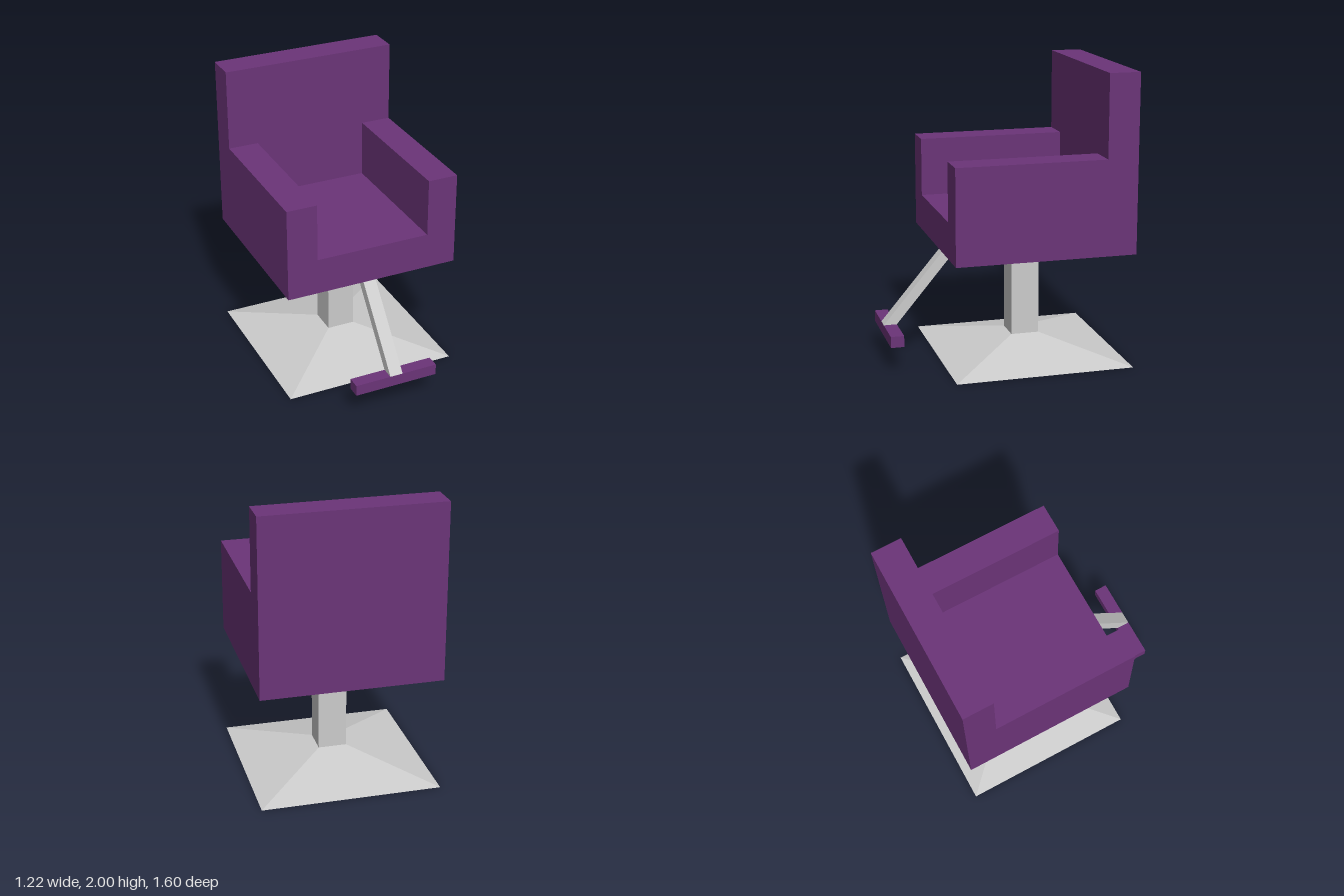
import * as THREE from 'three';

const purple = new THREE.MeshStandardMaterial({ color: 0x6b3478, flatShading: true });
const grey = new THREE.MeshStandardMaterial({ color: 0xcccccc, flatShading: true });

export function createModel() {
  const model = new THREE.Group();
  model.name = 'salonChair';

  const add = (name, geometry, material) => {
    const mesh = new THREE.Mesh(geometry, material);
    mesh.name = name;
    model.add(mesh);
    return mesh;
  };
  // Box given by its minimum and maximum corners
  const box = (x0, x1, y0, y1, z0, z1) =>
    new THREE.BoxGeometry(x1 - x0, y1 - y0, z1 - z0)
      .translate((x0 + x1) / 2, (y0 + y1) / 2, (z0 + z1) / 2);
  // Straight extrusion of a polygon
  const prism = (points, depth) =>
    new THREE.ExtrudeGeometry(
      new THREE.Shape(points.map(([x, y]) => new THREE.Vector2(x, y))),
      { depth, bevelEnabled: false });

  const half = 0.61, back = -0.795, front = 0.43, backFront = -0.585;
  const centreZ = (back + front) / 2;
  const bottom = 0.79, seatTop = 1.04, armTop = 1.44, armInner = 0.4;

  // Seat and both arms as one U-shaped block
  add('seatAndArms', prism([
    [-half, bottom], [half, bottom], [half, armTop], [armInner, armTop],
    [armInner, seatTop], [-armInner, seatTop], [-armInner, armTop], [-half, armTop],
  ], front - backFront).translate(0, 0, backFront), purple);

  // Tall backrest
  add('backrest', box(-half, half, bottom, 2, back, backFront), purple);

  // Square column on a flat four-sided pyramid foot
  const postHalf = 0.097;
  add('column', box(-postHalf, postHalf, 0.13, bottom, centreZ - postHalf, centreZ + postHalf), grey);
  add('base', new THREE.CylinderGeometry(postHalf * Math.SQRT2, half * Math.SQRT2, 0.13, 4)
    .rotateY(Math.PI / 4).translate(0, 0.065, centreZ), grey);

  // Slanted strut, drawn in side profile (z, y), carrying the footrest
  const strutWidth = 0.09;
  add('footrestStrut', prism([
    [0.71, 0.255], [0.8, 0.255], [0.35, bottom], [0.262, bottom],
  ], strutWidth).translate(0, 0, -strutWidth / 2).rotateY(-Math.PI / 2), grey);
  add('footrest', box(-0.295, 0.295, 0.178, 0.255, 0.71, 0.8), purple);

  return model;
}
